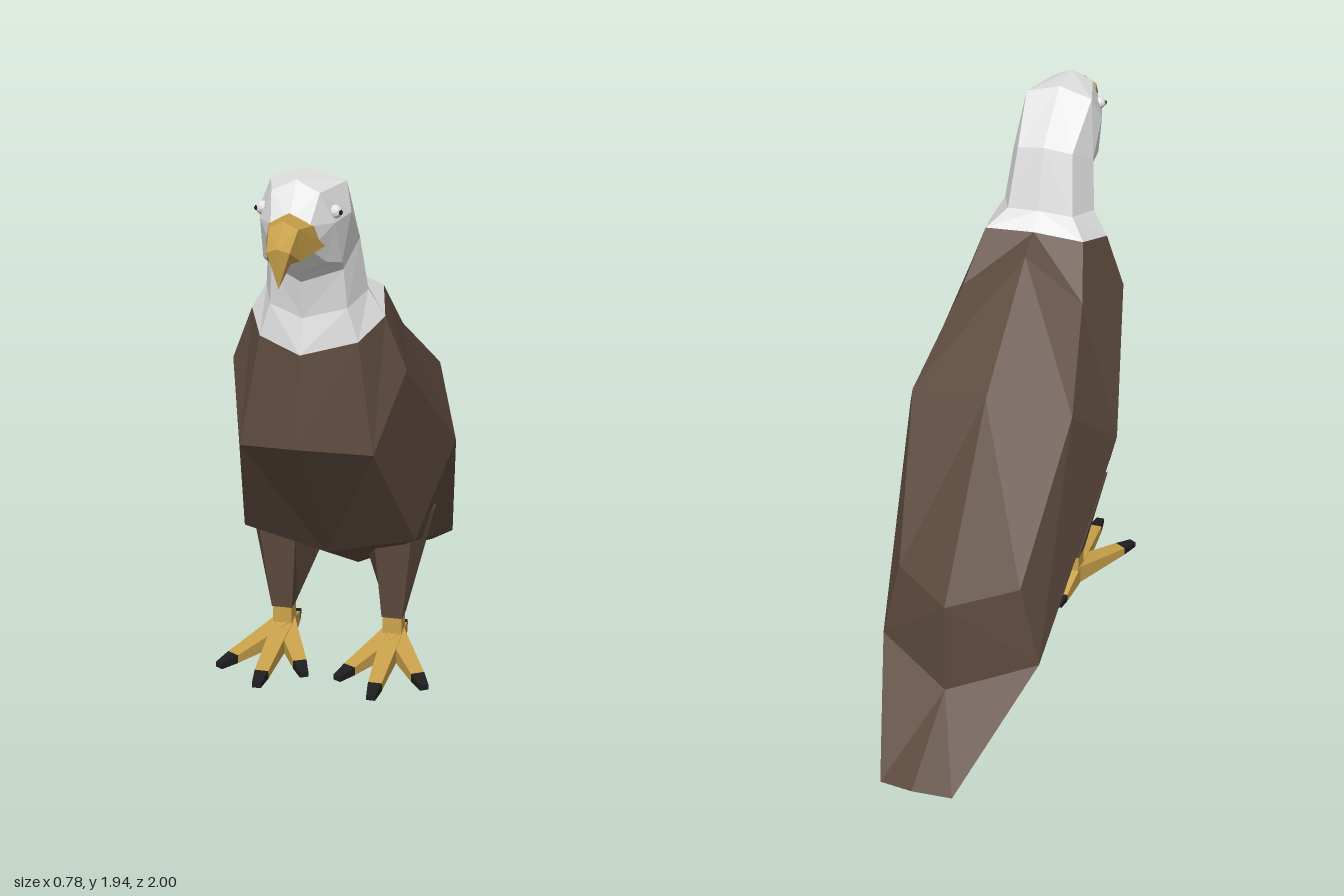
import * as THREE from 'three';

const flat = (color, name) => {
  const m = new THREE.MeshStandardMaterial({ color, flatShading: true });
  m.name = name;
  return m;
};

// Skin a list of cross-sections. Half sections run from the upper midline
// over the +x side to the lower midline and are drawn for both sides.
function loft(rings, { closed = false, sides = [1], capStart = false, capEnd = false } = {}) {
  const tris = [];
  const n = rings[0].length;
  for (let r = 0; r < rings.length - 1; r++) {
    const a = rings[r], b = rings[r + 1];
    for (let i = 0; i < (closed ? n : n - 1); i++) {
      const j = (i + 1) % n;
      tris.push([a[i], a[j], b[j]], [a[i], b[j], b[i]]);
    }
  }
  const last = rings[rings.length - 1];
  for (let i = 1; i < n - 1; i++) {
    if (capStart) tris.push([rings[0][0], rings[0][i + 1], rings[0][i]]);
    if (capEnd) tris.push([last[0], last[i], last[i + 1]]);
  }
  const pos = [];
  const same = (p, q) => p.every((v, k) => v === q[k]);
  for (const s of sides) {
    for (const [a, b, c] of tris) {
      if (same(a, b) || same(b, c) || same(a, c)) continue;
      for (const p of s > 0 ? [a, b, c] : [a, c, b]) pos.push(p[0] * s, p[1], p[2]);
    }
  }
  const g = new THREE.BufferGeometry();
  g.setAttribute('position', new THREE.Float32BufferAttribute(pos, 3));
  g.computeVertexNormals();
  return g;
}

// Rectangular section of a toe at distance d along heading angle a
function toeSection(origin, a, d, halfWidth, top, bottom) {
  const x = origin[0] + Math.sin(a) * d, z = origin[1] + Math.cos(a) * d;
  const rx = -Math.cos(a) * halfWidth, rz = Math.sin(a) * halfWidth;
  return [[x - rx, top, z - rz], [x + rx, top, z + rz], [x + rx, bottom, z + rz], [x - rx, bottom, z - rz]];
}

export function createModel() {
  const brown = flat(0x5d4a3e, 'brown feathers');
  const white = flat(0xe2e2e2, 'white feathers');
  const gold = flat(0xcaa24a, 'golden horn');
  const black = flat(0x1e1e20, 'black claw');

  const model = new THREE.Group();
  model.name = 'bird';
  const add = (parent, name, geometry, material) => {
    const mesh = new THREE.Mesh(geometry, material);
    mesh.name = name;
    parent.add(mesh);
    return mesh;
  };
  const both = [1, -1];

  // Body, from collar to rump, and the tail
  const collar = [[0, 1.5, 0.32], [0.18, 1.49, 0.32], [0.22, 1.44, 0.49], [0.16, 1.39, 0.62], [0, 1.375, 0.74]];
  const wingTip = [0.29, 0.26, -0.5];
  const vent = [0, 0.27, -0.12];
  const tailSide = [0.13, 0, -0.96];
  const rump = [[0, 0.2, -0.66], wingTip, wingTip, wingTip, vent];
  add(model, 'body', loft([
    collar,
    [[0, 1.45, 0.22], [0.22, 1.32, 0.19], [0.29, 1.26, 0.48], [0.22, 1.03, 0.67], [0, 1.09, 0.82]],
    [[0, 1.12, -0.21], [0.29, 1.07, -0.15], [0.39, 0.87, 0.08], [0.3, 0.6, 0.35], [0, 0.55, 0.4]],
    [[0, 0.55, -0.65], [0.22, 0.57, -0.5], wingTip, wingTip, vent],
    rump,
  ], { sides: both }), brown);
  add(model, 'tail', loft([
    rump,
    [[0, 0.03, -1], tailSide, tailSide, tailSide, [0, 0, -0.85]],
  ], { sides: both, capEnd: true }), brown);

  // Head and neck, from face to collar
  add(model, 'headAndNeck', loft([
    [[0, 1.84, 0.85], [0.06, 1.82, 0.84], [0.08, 1.77, 0.81], [0.06, 1.74, 0.82], [0, 1.72, 0.84]],
    [[0, 1.94, 0.76], [0.075, 1.905, 0.77], [0.117, 1.81, 0.75], [0.09, 1.69, 0.76], [0, 1.65, 0.77]],
    [[0, 1.94, 0.6], [0.12, 1.905, 0.6], [0.145, 1.82, 0.65], [0.125, 1.67, 0.69], [0, 1.63, 0.74]],
    [[0, 1.78, 0.42], [0.1, 1.76, 0.44], [0.148, 1.71, 0.54], [0.115, 1.63, 0.63], [0, 1.605, 0.71]],
    [[0, 1.56, 0.37], [0.12, 1.545, 0.39], [0.167, 1.53, 0.5], [0.125, 1.5, 0.62], [0, 1.485, 0.7]],
    collar,
  ], { sides: both, capStart: true }), white);

  // Hooked beak, from tip to base
  const tip = [0, 1.665, 0.985];
  add(model, 'beak', loft([
    [tip, tip, tip, tip],
    [[0, 1.79, 1], [0.035, 1.775, 0.985], [0.03, 1.735, 0.955], [0, 1.72, 0.95]],
    [[0, 1.855, 0.925], [0.045, 1.83, 0.92], [0.05, 1.735, 0.92], [0, 1.715, 0.92]],
    [[0, 1.86, 0.85], [0.068, 1.82, 0.83], [0.098, 1.745, 0.755], [0, 1.7, 0.81]],
  ], { sides: both, capEnd: true }), gold);

  for (const s of both) {
    const side = s > 0 ? 'left' : 'right';

    const eye = add(model, side + 'Eye', new THREE.IcosahedronGeometry(0.022, 1), white);
    eye.position.set(0.113 * s, 1.84, 0.73);
    const pupil = add(model, side + 'Pupil', new THREE.IcosahedronGeometry(0.009, 0), black);
    pupil.position.set(0.13 * s, 1.84, 0.738);

    const leg = new THREE.Group();
    leg.name = side + 'Leg';
    model.add(leg);
    const opts = { closed: true, sides: [s], capStart: true, capEnd: true };

    // Feathered thigh and bare shank
    const square = (y, h) => [[0.2 - h, y, 0.205 - h], [0.2 + h, y, 0.205 - h], [0.2 + h, y, 0.205 + h], [0.2 - h, y, 0.205 + h]];
    add(leg, 'thigh', loft([
      [[0.075, 0.46, 0.11], [0.34, 0.66, 0.16], [0.27, 0.55, 0.27], [0.14, 0.55, 0.27]],
      square(0.24, 0.037),
    ], opts), brown);
    add(leg, 'shank', loft([square(0.25, 0.033), square(0.11, 0.036)], opts), gold);

    // Three front toes and one hind toe, each with a claw: heading, length
    const toes = [[0, 0.395], [0.52, 0.33], [-0.46, 0.32], [Math.PI, 0.185]];
    for (const [angle, length] of toes) {
      const at = (d, w, top) => toeSection([0.2, 0.205], angle, d, w, top, 0.108);
      const joint = length - (angle > 3 ? 0.045 : 0.07);
      add(leg, 'toe', loft([at(0, 0.037, 0.185), at(0.04, 0.035, 0.175), at(joint, 0.024, 0.138)], opts), gold);
      add(leg, 'claw', loft([at(joint, 0.0242, 0.138), at(length, 0.015, 0.127)], opts), black);
    }
  }
  return model;
}
